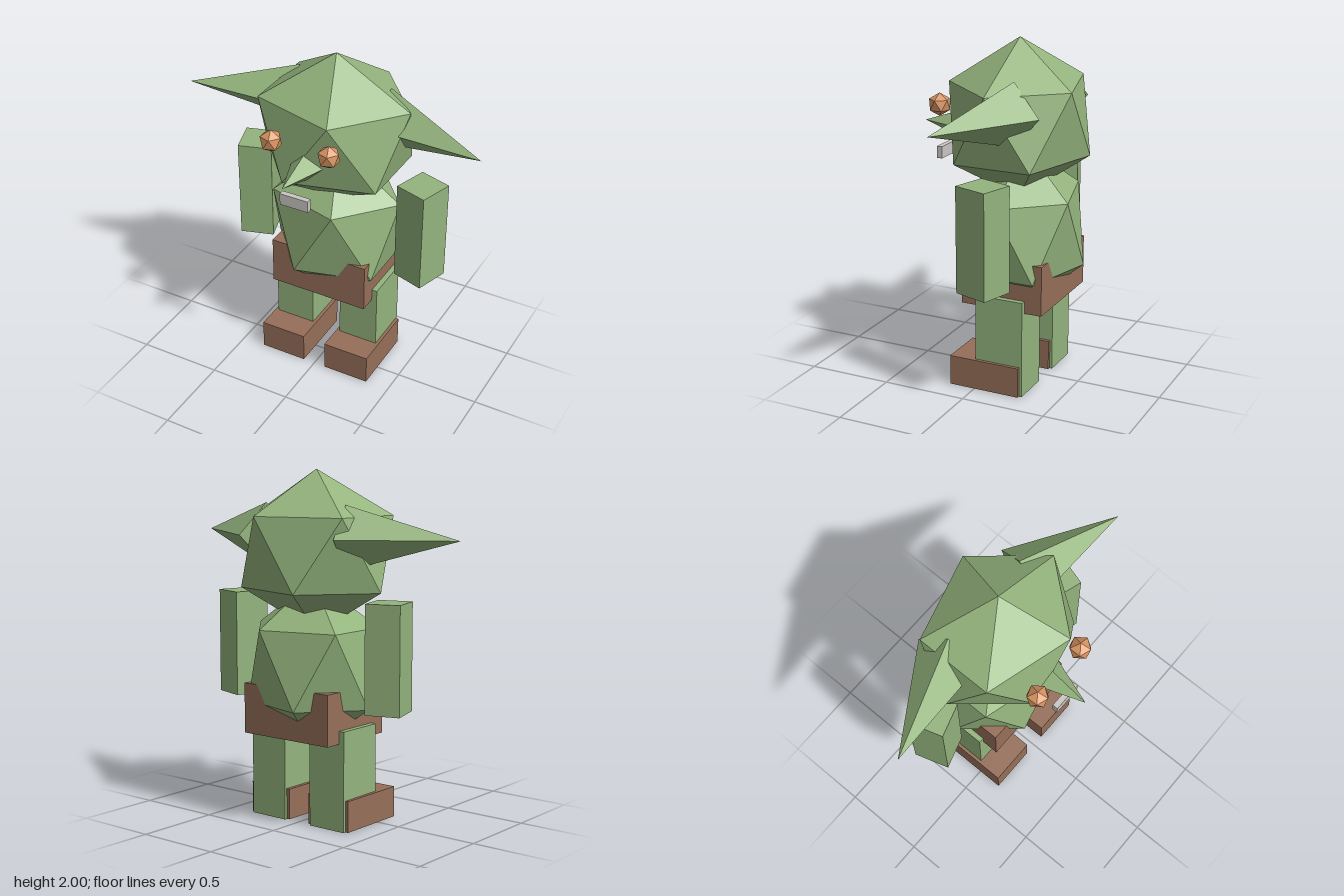
import * as THREE from 'three';
import { ConvexGeometry } from 'three/addons/geometries/ConvexGeometry.js';

export function createModel() {
  const model = new THREE.Group();
  model.name = 'goblin';

  const material = (name, color) => {
    const m = new THREE.MeshStandardMaterial({ color, flatShading: true });
    m.name = name;
    return m;
  };
  const skin = material('green skin', 0x94b47d);
  const leather = material('brown leather', 0x966f59);
  const amber = material('amber eyes', 0xd89462);
  const bone = material('pale grey mouth', 0xcbc7c3);

  const add = (name, geometry, mat, x, y, z) => {
    const mesh = new THREE.Mesh(geometry, mat);
    mesh.name = name;
    mesh.position.set(x, y, z);
    model.add(mesh);
    return mesh;
  };

  // Twenty-sided ball standing on a corner, first upper corner towards +x
  const ball = (rx, ry, rz) => {
    const points = [new THREE.Vector3(0, ry, 0), new THREE.Vector3(0, -ry, 0)];
    const h = 1 / Math.sqrt(5);
    for (let i = 0; i < 10; i++) {
      const a = (i * Math.PI) / 5;
      points.push(new THREE.Vector3(
        2 * h * rx * Math.cos(a), (i % 2 ? -h : h) * ry, 2 * h * rz * Math.sin(a)));
    }
    return new ConvexGeometry(points);
  };

  // Head and torso
  add('head', ball(0.509, 0.4625, 0.437), skin, 0, 1.5375, -0.118);
  add('torso', ball(0.445, 0.4865, 0.376), skin, 0, 0.8975, -0.15);

  // Nose
  const nose = add('nose', new THREE.ConeGeometry(0.095, 0.27, 4), skin, 0, 1.465, 0.35);
  nose.rotation.x = Math.PI / 2;

  // Mouth plate
  add('mouth', new THREE.BoxGeometry(0.175, 0.07, 0.033), bone, 0, 1.305, 0.35);

  // Shorts, with the belly bulging through
  add('shorts', new THREE.BoxGeometry(0.61, 0.29, 0.495), leather, 0, 0.645, -0.148);

  // Paired parts
  for (const s of [1, -1]) {
    const side = s > 0 ? 'left' : 'right';

    add(side + 'Eye', ball(0.067, 0.067, 0.067), amber, s * 0.178, 1.613, 0.295);

    // Ear sweeps outward and forward
    const earShape = new THREE.ConeGeometry(0.18, 0.65, 4);
    earShape.rotateZ((-s * Math.PI) / 2);
    const ear = add(side + 'Ear', earShape, skin, s * 0.599, 1.63, -0.124);
    ear.rotation.y = -s * 0.293;

    const arm = add(side + 'Arm', new THREE.BoxGeometry(0.2, 0.608, 0.21), skin, s * 0.534, 0.985, -0.15);
    arm.rotation.y = -s * 0.3;

    add(side + 'Leg', new THREE.BoxGeometry(0.245, 0.573, 0.29), skin, s * 0.215, 0.2865, -0.148);
    add(side + 'Shoe', new THREE.BoxGeometry(0.285, 0.178, 0.43), leather, s * 0.214, 0.091, -0.063);
  }

  return model;
}
